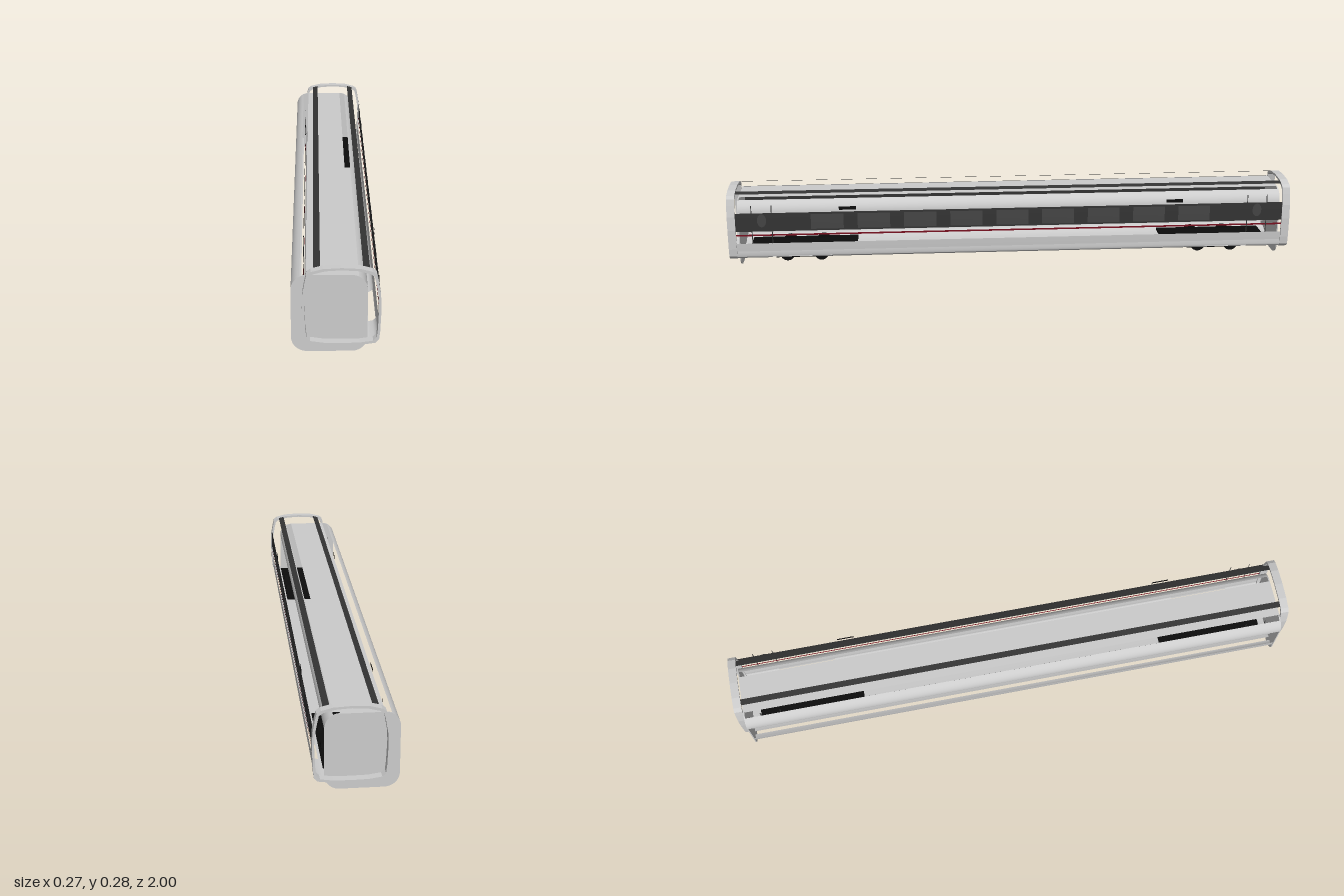
import * as THREE from 'three';

const CX = 0.015; // middle of the outer shell
const mat = (color) => new THREE.MeshStandardMaterial({ color, side: THREE.DoubleSide });
const grey = mat(0xcccccc);
const dark = mat(0x333333);
const glass = mat(0x444444);
const black = mat(0x0c0c0c);
const red = mat(0x7a1020);

export function createModel() {
  const root = new THREE.Group();
  const add = (name, geo, material) => {
    const m = new THREE.Mesh(geo, material);
    m.name = name;
    root.add(m);
    return m;
  };

  // Long open sheet: a cross-section [x, y] swept from z0 to z1
  const sheet = (name, pts, z0, z1, material) => {
    const pos = [], idx = [];
    pts.forEach(([x, y], i) => {
      pos.push(x, y, z0, x, y, z1);
      if (i) {
        const a = 2 * i - 2;
        idx.push(a, a + 2, a + 3, a, a + 3, a + 1);
      }
    });
    const g = new THREE.BufferGeometry();
    g.setAttribute('position', new THREE.Float32BufferAttribute(pos, 3));
    g.setIndex(idx);
    g.computeVertexNormals();
    add(name, g, material);
  };
  const bothSides = (name, pts, z0, z1, material, middle = CX) => {
    sheet(name + 'Left', pts, z0, z1, material);
    sheet(name + 'Right', pts.map(([x, y]) => [2 * middle - x, y]).reverse(), z0, z1, material);
  };

  // Outline of the shell at height y on the left side
  const wallX = (y, out = 0) => CX + 0.114 - 0.55 * (y - 0.17) ** 2 + out;
  const wall = (y0, y1, out = 0) => [0, 1, 2, 3].map((i) => {
    const y = y0 + (y1 - y0) * i / 3;
    return [wallX(y, out), y];
  });

  // End frames
  const outline = (k) => {
    const half = [[0, 0.283], [0.055, 0.28], [0.09, 0.271], [0.103, 0.262], [0.108, 0.24], [0.115, 0.2],
      [0.117, 0.15], [0.114, 0.08], [0.111, 0.053], [0.1, 0.042], [0.06, 0.036]];
    const pts = [...half, [0, 0.035], ...half.slice(1).reverse().map(([x, y]) => [-x, y])];
    return pts.map(([x, y]) => new THREE.Vector2(
      CX + x - Math.sign(x) * Math.min(k, Math.abs(x)), y + k * (y > 0.159 ? -1 : 1)));
  };
  const frame = new THREE.Shape(outline(0));
  frame.holes.push(new THREE.Path(outline(0.007)));
  for (const [name, z] of [['frontFrame', 0.972], ['backFrame', -1]]) {
    const g = new THREE.ExtrudeGeometry(frame, { depth: 0.028, bevelEnabled: false });
    add(name, g, grey).position.z = z;
  }

  // Rounded end plates
  const [L, R, T, r] = [-0.135, 0.093, 0.247, 0.047];
  const plate = new THREE.Shape();
  plate.absarc(R - r, T - r, r, 0, Math.PI / 2);
  plate.absarc(L + r, T - r, r, Math.PI / 2, Math.PI);
  plate.absarc(L + r, r, r, Math.PI, Math.PI * 1.5);
  plate.absarc(R - r, r, r, Math.PI * 1.5, Math.PI * 2);
  for (const [name, z] of [['frontPlate', 0.964], ['backPlate', -0.972]]) {
    add(name, new THREE.ExtrudeGeometry(plate, { depth: 0.004, bevelEnabled: false, curveSegments: 10 }), grey)
      .position.z = z;
  }

  // Inner roof: a flat top and two rounded edges with a slot between
  sheet('roof', [[R - r, T], [L + r, T]], -0.97, 0.966, grey);
  const edge = [];
  for (let i = 0; i <= 8; i++) {
    const a = 1.12 * i / 8;
    edge.push([R - r + r * Math.cos(a), T - r + r * Math.sin(a)]);
  }
  bothSides('roofEdge', edge, -0.97, 0.966, grey, (L + R) / 2);

  // Roof rails, following the slope of the frames
  bothSides('roofRail', [[CX + 0.083, 0.2725], [CX + 0.063, 0.2775]], -0.972, 0.972, dark);

  // Side walls
  bothSides('windowBand', wall(0.145, 0.212), -0.972, 0.972, dark);
  bothSides('redLine', wall(0.128, 0.134), -0.972, 0.972, red);
  bothSides('lowerPanel', wall(0.07, 0.1), -0.972, 0.972, grey);
  for (let i = -4; i <= 4; i++) {
    bothSides('window', wall(0.151, 0.205, 0.001), i * 0.163 - 0.057, i * 0.163 + 0.057, glass);
  }
  for (const s of [-1, 1]) {
    bothSides('display', wall(0.219, 0.231, 0.002), s * 0.58 - 0.03, s * 0.58 + 0.03, black);
    // Door seams and oval door windows
    for (const z of [0.845, 0.915]) {
      bothSides('doorSeam', wall(0.1, 0.24, 0.001), s * z - 0.0015, s * z + 0.0015, dark);
    }
    for (const side of [-1, 1]) {
      const oval = add('doorWindow', new THREE.CircleGeometry(0.016, 20), glass);
      oval.scale.y = 1.5;
      oval.rotation.y = side * Math.PI / 2;
      oval.position.set(CX + side * (wallX(0.185) - CX + 0.002), 0.185, s * 0.88);
    }
  }

  // Skirts, with the lower curl cut away above the bogies
  const curl = [[0.1, 0.04], [0.113, 0.043], [0.121, 0.049], [0.124, 0.057]];
  sheet('skirtEdge', [[0.122, 0.05], [0.124, 0.057], [wallX(0.07), 0.07]], -0.972, 0.972, grey);
  for (const [z0, z1] of [[-0.972, -0.85], [-0.64, 0.64], [0.85, 0.972]]) {
    sheet('skirt', curl, z0, z1, grey);
  }
  sheet('outerSkirt', [[-0.135, 0.088], [-0.133, 0.062], [-0.127, 0.05], [-0.108, 0.044]], -0.97, 0.966, grey);

  // Floor
  sheet('floor', [[-0.098, 0.05], [-0.07, 0.04], [CX, 0.037], [0.1, 0.04]], -0.972, 0.972, grey);

  // Bogies: a wide bed above the floor, a frame below it and two wheel sets each
  for (const s of [-1, 1]) {
    const bed = add('bogieBed', new THREE.BoxGeometry(0.163, 0.008, 0.38), black);
    bed.position.set(0.0115, 0.054, s * 0.745);
    const bogie = add('bogieFrame', new THREE.BoxGeometry(0.14, 0.016, 0.2), black);
    bogie.position.set(CX, 0.04, s * 0.74);
    for (const z of [0.68, 0.8]) {
      for (const x of [-0.055, 0.08]) {
        const wheel = add('wheel', new THREE.CylinderGeometry(0.026, 0.026, 0.014, 20), black);
        wheel.rotation.z = Math.PI / 2;
        wheel.position.set(x, 0.046, s * z);
      }
    }
  }
  return root;
}
